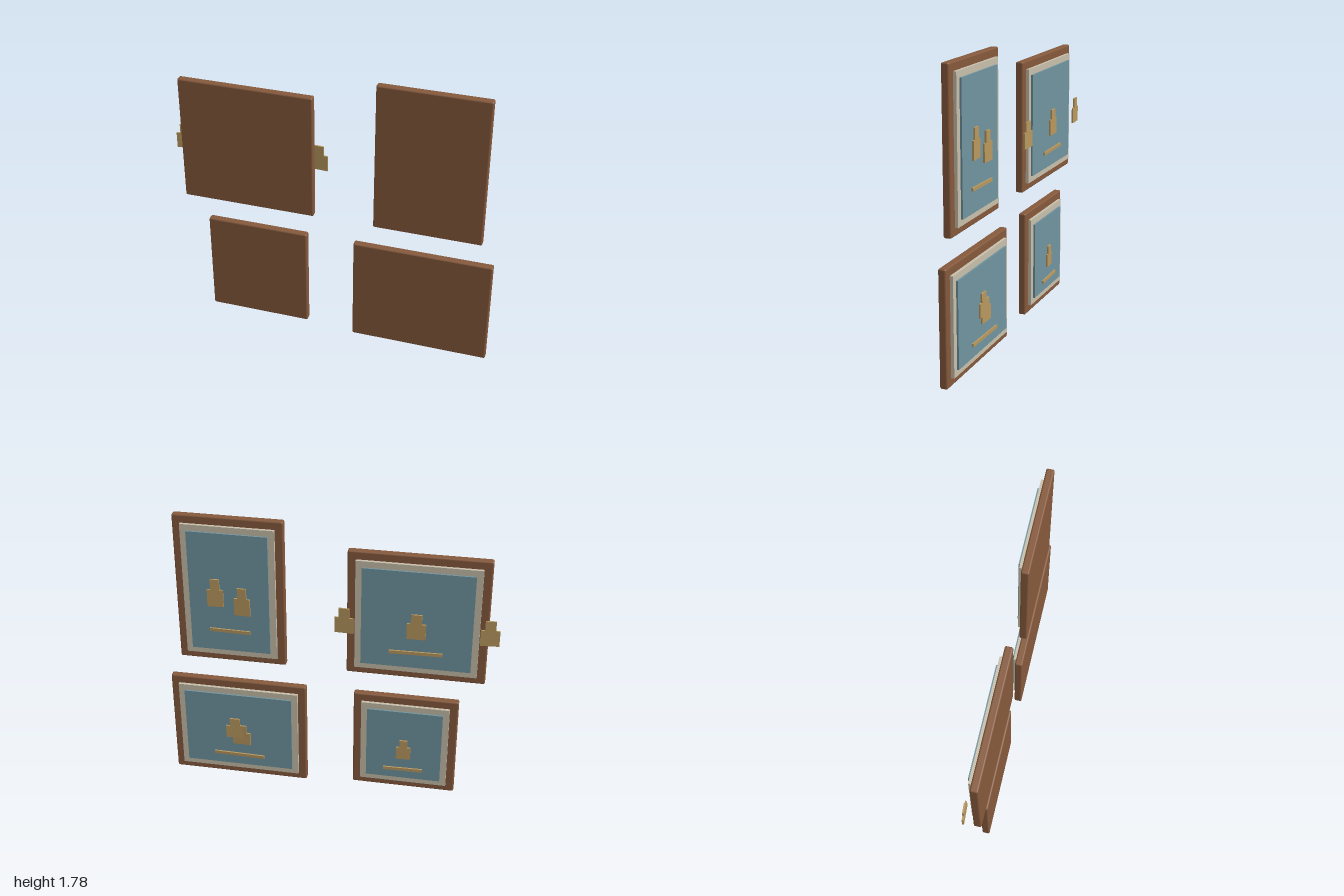
import * as THREE from 'three';
import { RoundedBoxGeometry } from 'three/addons/geometries/RoundedBoxGeometry.js';

const wood = new THREE.MeshStandardMaterial({ color: 0x85593c });
const cream = new THREE.MeshStandardMaterial({ color: 0xc8bfab });
const blue = new THREE.MeshStandardMaterial({ color: 0x7094a0 });
const gold = new THREE.MeshStandardMaterial({ color: 0xb8985f });

function add(parent, name, geometry, material, x, y, z) {
  const mesh = new THREE.Mesh(geometry, material);
  mesh.name = name;
  mesh.position.set(x, y, z);
  parent.add(mesh);
  return mesh;
}

// Simple relief figure: a body with a narrower head, base at y = 0
function figure(w, h) {
  const b = w / 2, n = w * 0.28, s = h * 0.62;
  const outline = [[-b, 0], [b, 0], [b, s], [n, s], [n, h], [-n, h], [-n, s], [-b, s]];
  const shape = new THREE.Shape(outline.map(([x, y]) => new THREE.Vector2(x, y)));
  return new THREE.ExtrudeGeometry(shape, { depth: 0.01, bevelEnabled: false }).translate(0, 0, -0.005);
}

// Panels: edges, figure size, figures as [x offset, y offset, turn], bar turn
const panels = [
  { x0: -0.934, x1: -0.106, y0: 0.836, y1: 1.637, fw: 0.112, fh: 0.16,
    figures: [[-0.425, 0, 0.06], [0, 0, 0], [0.425, 0, -0.06]], turn: -0.025 },
  { x0: 0.265, x1: 0.923, y0: 0.836, y1: 1.779, fw: 0.097, fh: 0.178,
    figures: [[-0.08, 0, -0.04], [0.08, 0.048, 0.04]], turn: 0.025 },
  { x0: -0.79, x1: -0.152, y0: 0.03, y1: 0.689, fw: 0.088, fh: 0.134,
    figures: [[0, 0, 0.04]], turn: -0.025 },
  { x0: 0.145, x1: 0.998, y0: 0, y1: 0.689, fw: 0.115, fh: 0.138,
    figures: [[-0.02, 0, -0.03], [0.02, 0.048, 0.03]], turn: 0.025 },
];

function makePanel(p) {
  const group = new THREE.Group();
  group.name = 'wallPanel';
  const w = p.x1 - p.x0, h = p.y1 - p.y0;
  group.position.set((p.x0 + p.x1) / 2, p.y0, 0);

  // Wooden board, then the mat and picture stepped up on its back
  add(group, 'frame', new RoundedBoxGeometry(w, h, 0.047, 2, 0.01), wood, 0, h / 2, 0.0235);
  add(group, 'mat', new THREE.BoxGeometry(w - 0.1, h - 0.1, 0.022), cream, 0, h / 2, -0.008);
  add(group, 'picture', new THREE.BoxGeometry(w - 0.176, h - 0.176, 0.014), blue, 0, h / 2, -0.023);

  // Raised figures and the ground bar below them
  p.figures.forEach(([dx, dy, turn], i) => {
    const z = -0.038 - (i % 2) * 0.002;
    add(group, 'figure', figure(p.fw, p.fh), gold, dx, h * 0.36 + dy, z).rotation.y = turn;
  });
  const bar = add(group, 'groundBar', new THREE.BoxGeometry(w * 0.38, 0.02, 0.01), gold, 0, h * 0.24, -0.038);
  bar.rotation.y = -p.turn;
  return group;
}

export function createModel() {
  const model = new THREE.Group();
  model.name = 'panelSet';
  panels.forEach((p) => model.add(makePanel(p)));
  return model;
}
